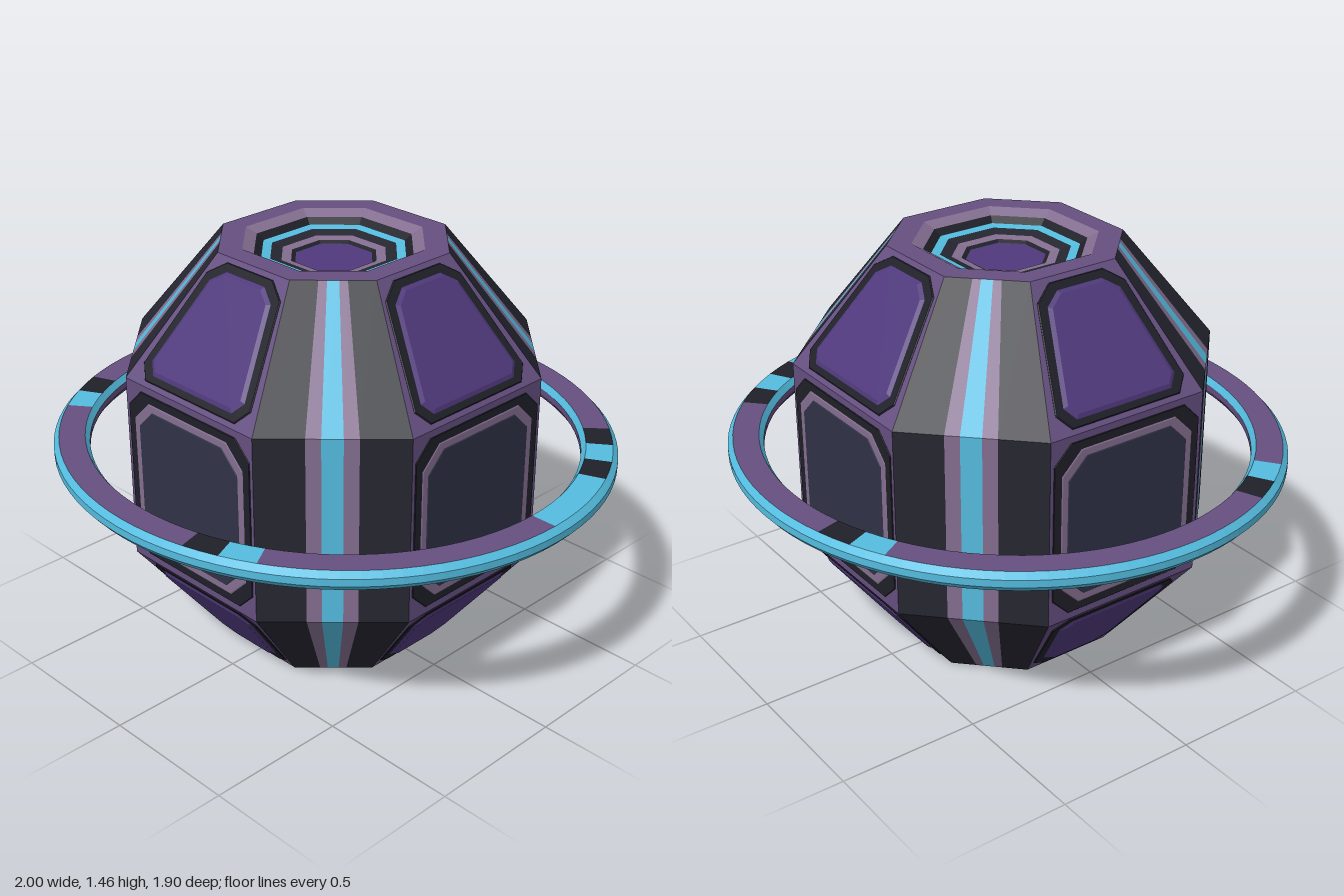
import * as THREE from 'three';

const mat = (name, color) => Object.assign(new THREE.MeshStandardMaterial({ color }), { name });
const M = {
  purple: mat('hull purple', 0x654f80),
  violet: mat('panel violet', 0x50397c),
  mauve: mat('trim mauve', 0x846e90),
  cyan: mat('glow cyan', 0x54bcdf),
  charcoal: mat('band charcoal', 0x252630),
  black: mat('groove black', 0x1f2028),
  navy: mat('panel navy', 0x303247),
};

// Collects flat quads by colour; corners run anticlockwise seen from outside
class Facets {
  constructor() { this.lists = {}; }
  quad(colour, a, b, c, d) {
    const list = (this.lists[colour] ??= []);
    list.push(...a, ...b, ...c);
    if (c.some((v, i) => Math.abs(v - d[i]) > 1e-6)) list.push(...a, ...c, ...d);
  }
  addTo(group, name) {
    for (const [colour, list] of Object.entries(this.lists)) {
      const g = new THREE.BufferGeometry();
      g.setAttribute('position', new THREE.Float32BufferAttribute(list, 3));
      g.computeVertexNormals();
      const mesh = new THREE.Mesh(g, M[colour]);
      mesh.name = name + ' ' + colour;
      group.add(mesh);
    }
  }
}

const MID = 0.7275, TOP = 0.7275, SHOULDER = 0.3325;
const R_TOP = 0.36, R_MID = 0.655, RATIO = 0.47;

// Points on one eighth of the hull outline, t from 0 (left) to 1 (right)
const frontEdge = (r, y, t) => [(2 * t - 1) * r * RATIO, y, r];
const cornerEdge = (r, y, t) => {
  const h = r * RATIO;
  return [h + (r - h) * t, y, r + (h - r) * t];
};
function strip(f, colour, edge, [r0, y0], [r1, y1], t0 = 0, t1 = 1) {
  f.quad(colour, edge(r0, y0, t0), edge(r0, y0, t1), edge(r1, y1, t1), edge(r1, y1, t0));
}

// Trapezoid with cut corners
function panelShape(wBottom, wTop, y0, y1, cut) {
  const corners = [[-wBottom, y0], [wBottom, y0], [wTop, y1], [-wTop, y1]].map(p => new THREE.Vector2(...p));
  const pts = [];
  corners.forEach((p, i) => {
    for (const q of [corners[(i + 3) % 4], corners[(i + 1) % 4]])
      pts.push(p.clone().add(q.clone().sub(p).setLength(cut)));
  });
  return new THREE.Shape(pts);
}
function plate(name, material, shape, z, height, bevel) {
  const g = new THREE.ExtrudeGeometry(shape, {
    depth: 0.001, bevelEnabled: true, bevelSegments: 1,
    bevelThickness: height, bevelSize: bevel, bevelOffset: -bevel,
  });
  const mesh = new THREE.Mesh(g, material);
  mesh.name = name;
  mesh.position.z = z;
  return mesh;
}

// A quarter of the upper half: front wall, corner bands, roof well and sloped panel
function hullQuarter() {
  const group = new THREE.Group();
  const f = new Facets();
  const rings = [[R_MID, 0], [R_MID, SHOULDER], [R_TOP, TOP]];
  const bands = [[0, 0.33, 'charcoal'], [0.33, 0.43, 'mauve'], [0.43, 0.57, 'cyan'],
    [0.57, 0.67, 'mauve'], [0.67, 1, 'charcoal']];
  for (let i = 0; i < 2; i++) {
    strip(f, 'purple', frontEdge, rings[i], rings[i + 1]);
    for (const [t0, t1, colour] of bands) strip(f, colour, cornerEdge, rings[i], rings[i + 1], t0, t1);
  }
  // Stepped well in the roof
  const well = [[R_TOP, 0], [0.285, 0, 'purple'], [0.25, -0.02, 'mauve'], [0.228, -0.04, 'black'],
    [0.2, -0.045, 'cyan'], [0.165, -0.055, 'charcoal'], [0.135, -0.06, 'mauve'],
    [0.122, -0.068, 'black'], [0, -0.068, 'violet']];
  for (let i = 1; i < well.length; i++) {
    const [a, b] = [well[i - 1], well[i]].map(([r, y]) => [r, TOP + y]);
    for (const edge of [frontEdge, cornerEdge]) strip(f, well[i][2], edge, a, b);
  }
  f.addTo(group, 'hull');

  const slope = new THREE.Group();
  slope.name = 'slopedPanel';
  slope.position.set(0, SHOULDER, R_MID);
  slope.rotation.x = -Math.atan2(R_MID - R_TOP, TOP - SHOULDER);
  slope.add(
    plate('panelFrame', M.black, panelShape(0.272, 0.162, 0.018, 0.474, 0.055), 0, 0.003, 0.003),
    plate('panelFace', M.violet, panelShape(0.235, 0.134, 0.043, 0.444, 0.045), 0.003, 0.007, 0.014),
  );
  group.add(slope);
  return group;
}

// Upright panel at the middle of each side
function wallPanel() {
  const group = new THREE.Group();
  const rect = (w, h, cut) => panelShape(w, w, -h, h, cut);
  group.add(
    plate('wallFrame', M.black, rect(0.295, 0.308, 0.065), R_MID, 0.002, 0.002),
    plate('wallTrim', M.mauve, rect(0.265, 0.278, 0.075), R_MID + 0.002, 0.002, 0.004),
    plate('wallFace', M.navy, rect(0.241, 0.252, 0.07), R_MID + 0.004, 0.002, 0.003),
  );
  return group;
}

// Slightly oval orbiting band with coloured marks on its upper side
function orbitRing() {
  const group = new THREE.Group();
  group.name = 'orbitRing';
  const section = [[-0.064, -0.012], [-0.064, 0.012], [-0.048, 0.034], [0.045, 0.034],
    [0.064, 0.014], [0.064, -0.012], [0.045, -0.034], [-0.048, -0.034]];
  const colours = ['purple', 'cyan', 'purple', 'cyan', 'cyan', 'cyan', 'purple', 'purple'];
  const marks = [[-120, -112.5, 'cyan'], [-112.5, -105, 'black'], [-45, -37.5, 'black'],
    [-37.5, -30, 'cyan'], [-30, -22.5, 'black'], [-22.5, 0, 'cyan'], [60, 67.5, 'cyan'],
    [67.5, 75, 'black'], [142.5, 150, 'cyan'], [150, 157.5, 'black']];
  const point = ([d, y], deg) => {
    const a = deg * Math.PI / 180;
    return [(0.936 + d) * Math.cos(a), y, (0.936 + d) * 0.952 * Math.sin(a)];
  };
  const f = new Facets();
  const step = 3.75;
  for (let deg = -180; deg < 180; deg += step) {
    const mark = marks.find(([a, b]) => deg >= a && deg < b);
    section.forEach((p, i) => {
      const q = section[(i + 1) % section.length];
      const colour = i === 2 && mark ? mark[2] : colours[i];
      f.quad(colour, point(p, deg), point(p, deg + step), point(q, deg + step), point(q, deg));
    });
  }
  f.addTo(group, 'ring');
  return group;
}

export function createModel() {
  const model = new THREE.Group();
  model.name = 'ringedPod';
  const quarter = hullQuarter();
  const wall = wallPanel();
  // Upper half, and the same half turned over below
  for (const [name, turn] of [['upperHull', 0], ['lowerHull', Math.PI]]) {
    const half = new THREE.Group();
    half.name = name;
    half.position.y = MID;
    half.rotation.x = turn;
    for (let k = 0; k < 4; k++) {
      const q = quarter.clone();
      q.name = 'hullQuarter';
      q.rotation.y = k * Math.PI / 2;
      half.add(q);
    }
    model.add(half);
  }
  for (let k = 0; k < 4; k++) {
    const w = wall.clone();
    w.name = 'wallPanel';
    w.position.y = MID;
    w.rotation.y = k * Math.PI / 2;
    model.add(w);
  }
  const ring = orbitRing();
  ring.position.y = MID + 0.003;
  model.add(ring);
  return model;
}
